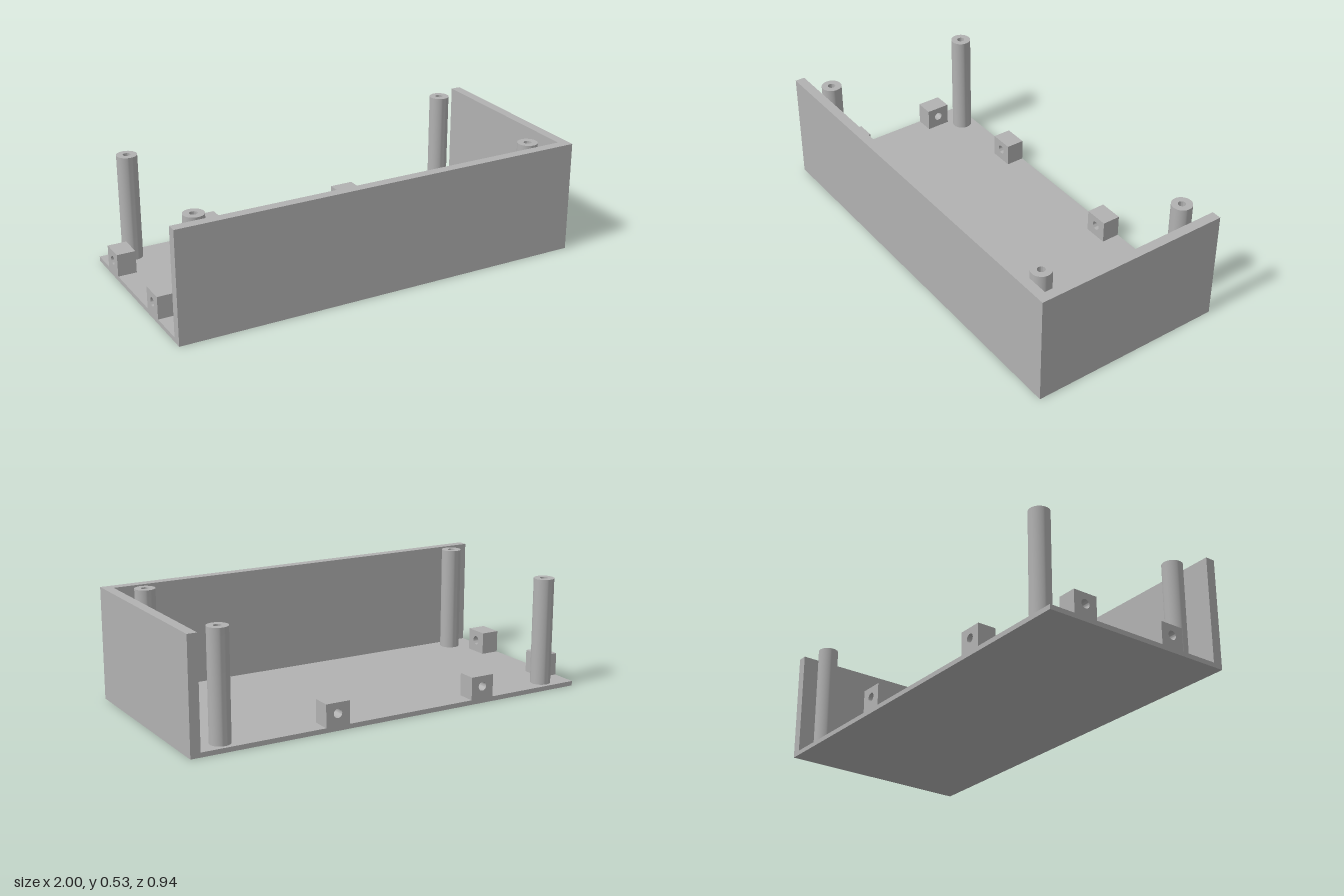
import * as THREE from 'three';
import { toCreasedNormals } from 'three/addons/utils/BufferGeometryUtils.js';

const X = 1, Z = 0.472, HEIGHT = 0.533, WALL = 0.047, FLOOR = 0.022;

export function createModel() {
  const group = new THREE.Group();
  const grey = new THREE.MeshStandardMaterial({ color: 0xb2b2b2 });
  grey.name = 'plain grey';

  const add = (name, geometry, x = 0, y = 0, z = 0) => {
    const mesh = new THREE.Mesh(geometry, grey);
    mesh.name = name;
    mesh.position.set(x, y, z);
    group.add(mesh);
    return mesh;
  };
  const extrude = (shape, depth) => toCreasedNormals(
    new THREE.ExtrudeGeometry(shape, { depth, bevelEnabled: false, curveSegments: 20 }), 0.6);
  const circleHole = (x, y, r) => new THREE.Path().absarc(x, y, r, 0, Math.PI * 2, true);

  // Floor plate, fitted inside the two walls
  const floorW = 2 * X - WALL, floorD = 2 * Z - WALL;
  add('floor', new THREE.BoxGeometry(floorW, FLOOR, floorD), -WALL / 2, FLOOR / 2, -WALL / 2);

  // L-shaped front and side wall; shape y maps to -z
  const wallShape = new THREE.Shape([
    [-X, -Z], [X, -Z], [X, Z], [X - WALL, Z], [X - WALL, -Z + WALL], [-X, -Z + WALL],
  ].map(([x, y]) => new THREE.Vector2(x, y)));
  add('cornerWalls', extrude(wallShape, HEIGHT).rotateX(-Math.PI / 2));

  // Four hollow screw posts
  const ring = new THREE.Shape().absarc(0, 0, 0.048, 0, Math.PI * 2, false);
  ring.holes.push(circleHole(0, 0, 0.018));
  const postGeometry = extrude(ring, HEIGHT - FLOOR - 0.001).rotateX(-Math.PI / 2);
  for (const x of [-0.86, 0.832])
    for (const z of [-0.405, 0.352]) add('screwPost', postGeometry, x, FLOOR, z);

  // Drilled mounting blocks along the two open edges
  const w = 0.118, h = 0.13 - FLOOR, d = 0.09;
  const blockShape = new THREE.Shape([
    [-w / 2, 0], [w / 2, 0], [w / 2, h], [-w / 2, h],
  ].map(([x, y]) => new THREE.Vector2(x, y)));
  blockShape.holes.push(circleHole(0, 0.08 - FLOOR, 0.021));
  const blockGeometry = extrude(blockShape, d);
  for (const x of [-0.47, 0.299]) add('backBlock', blockGeometry, x, FLOOR, -Z);
  for (const z of [-0.288, 0.186])
    add('sideBlock', blockGeometry, -X, FLOOR, z).rotation.y = Math.PI / 2;

  return group;
}
